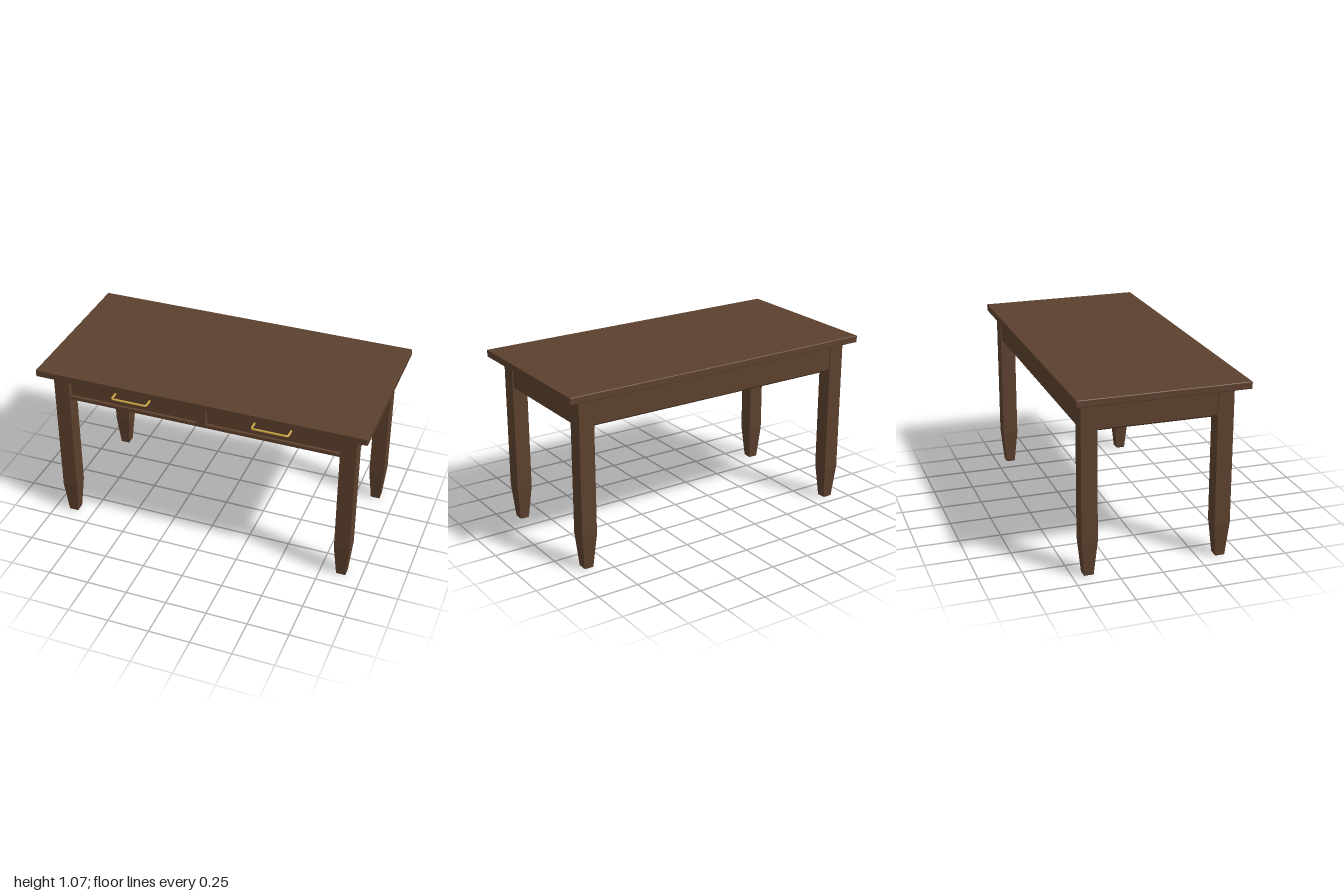
import * as THREE from 'three';
import { RoundedBoxGeometry } from 'three/addons/geometries/RoundedBoxGeometry.js';

const wood = new THREE.MeshStandardMaterial({ color: 0x5c402d });
const paleWood = new THREE.MeshStandardMaterial({ color: 0xbfa27a });
const panelWood = new THREE.MeshStandardMaterial({ color: 0xa08c6a });
const brass = new THREE.MeshStandardMaterial({ color: 0xc9a23f });

const TOP = 1.028;      // underside of the table top
const APRON = 0.858;    // bottom of the aprons
const LEG_X = 0.878, LEG_FRONT = 0.381, LEG_BACK = -0.407, LEG_HALF = 0.047;

function add(parent, name, geometry, material, x = 0, y = 0, z = 0) {
  const mesh = new THREE.Mesh(geometry, material);
  mesh.name = name;
  mesh.position.set(x, y, z);
  parent.add(mesh);
  return mesh;
}

// Box given by its limits on each axis
function block(parent, name, material, [x0, x1], [y0, y1], [z0, z1]) {
  return add(parent, name, new THREE.BoxGeometry(x1 - x0, y1 - y0, z1 - z0), material,
    (x0 + x1) / 2, (y0 + y1) / 2, (z0 + z1) / 2);
}

// Square leg tapering to the foot, with small chamfers at the ends
function legGeometry() {
  const profile = [[0, 0], [0.025, 0], [0.0285, 0.004], [LEG_HALF, 0.21],
    [LEG_HALF, TOP - 0.004], [LEG_HALF - 0.003, TOP], [0, TOP]]
    .map(([half, y]) => new THREE.Vector2(half * Math.SQRT2, y));
  const geometry = new THREE.LatheGeometry(profile, 4, Math.PI / 4).toNonIndexed();
  geometry.computeVertexNormals();
  return geometry;
}

// Board along x whose outer (+z) lower edge is chamfered
function apronGeometry(length) {
  const shape = new THREE.Shape();
  [[0, APRON], [0, TOP], [-0.03, TOP], [-0.03, APRON], [-0.01, APRON], [0, APRON + 0.01]]
    .slice(1).forEach(([z, y], i) => (i ? shape.lineTo(-z, y) : shape.moveTo(-z, y)));
  const geometry = new THREE.ExtrudeGeometry(shape, { depth: length, bevelEnabled: false });
  geometry.translate(0, 0, -length / 2);
  geometry.rotateY(Math.PI / 2);
  return geometry;
}

// Bar pull bent from a single rod
function handleGeometry(zBack, zFront) {
  const r = 0.0065, half = 0.115 - r, bend = 0.016, z = zFront - r;
  const path = new THREE.CurvePath();
  const v = (x, zz) => new THREE.Vector3(x, 0, zz);
  path.add(new THREE.LineCurve3(v(-half, zBack), v(-half, z - bend)));
  path.add(new THREE.QuadraticBezierCurve3(v(-half, z - bend), v(-half, z), v(-half + bend, z)));
  path.add(new THREE.LineCurve3(v(-half + bend, z), v(half - bend, z)));
  path.add(new THREE.QuadraticBezierCurve3(v(half - bend, z), v(half, z), v(half, z - bend)));
  path.add(new THREE.LineCurve3(v(half, z - bend), v(half, zBack)));
  return new THREE.TubeGeometry(path, 80, r, 10);
}

// Drawer with front, open box and handle, centred on x
function makeDrawer(name, x) {
  const drawer = new THREE.Group();
  drawer.name = name;
  drawer.position.x = x;
  const face = 0.405, back = -0.32, w = 0.385, t = 0.014, y0 = 0.884, y1 = 0.995;
  block(drawer, 'drawerFront', wood, [-0.395, 0.395], [0.882, 1.018], [face - 0.025, face]);
  for (const s of [-1, 1]) {
    block(drawer, 'drawerSide', paleWood, [s * w - t / 2, s * w + t / 2], [y0, y1], [back, face - 0.025]);
  }
  block(drawer, 'drawerBack', paleWood, [-w, w], [y0, y1], [back, back + t]);
  block(drawer, 'drawerBottom', panelWood, [-w, w], [y0 - 0.002, y0 + 0.008], [back, face - 0.025]);
  add(drawer, 'handle', handleGeometry(face - 0.005, 0.469), brass, 0, 0.953, 0);
  return drawer;
}

export function createModel() {
  const table = new THREE.Group();
  table.name = 'writingTable';

  add(table, 'tableTop', new RoundedBoxGeometry(2, 0.043, 1, 2, 0.005), wood, 0, TOP + 0.0215, 0);

  // Legs
  const leg = legGeometry();
  for (const x of [-LEG_X, LEG_X]) {
    add(table, 'frontLeg', leg, wood, x, 0, LEG_FRONT);
    add(table, 'backLeg', leg, wood, x, 0, LEG_BACK);
  }

  // Side and back aprons, set slightly in from the leg faces
  const inset = 0.008, midZ = (LEG_FRONT + LEG_BACK) / 2;
  const sideApron = apronGeometry(LEG_FRONT - LEG_BACK - 2 * LEG_HALF + 0.004);
  for (const s of [-1, 1]) {
    add(table, 'sideApron', sideApron, wood, s * (LEG_X + LEG_HALF - inset), 0, midZ)
      .rotation.y = s * Math.PI / 2;
  }
  add(table, 'backApron', apronGeometry(2 * (LEG_X - LEG_HALF) + 0.004), wood,
    0, 0, LEG_BACK - LEG_HALF + inset).rotation.y = Math.PI;

  // Front frame around the drawers
  const inner = LEG_X - LEG_HALF + 0.002, frameZ = [0.38, 0.42];
  block(table, 'lowerRail', wood, [-inner, inner], [APRON, 0.878], frameZ);
  block(table, 'upperRail', wood, [-inner, inner], [1.021, TOP], frameZ);
  block(table, 'centerStile', wood, [-0.028, 0.028], [0.878, 1.021], frameZ);

  // Drawers
  table.add(makeDrawer('leftDrawer', 0.43), makeDrawer('rightDrawer', -0.43));
  return table;
}
